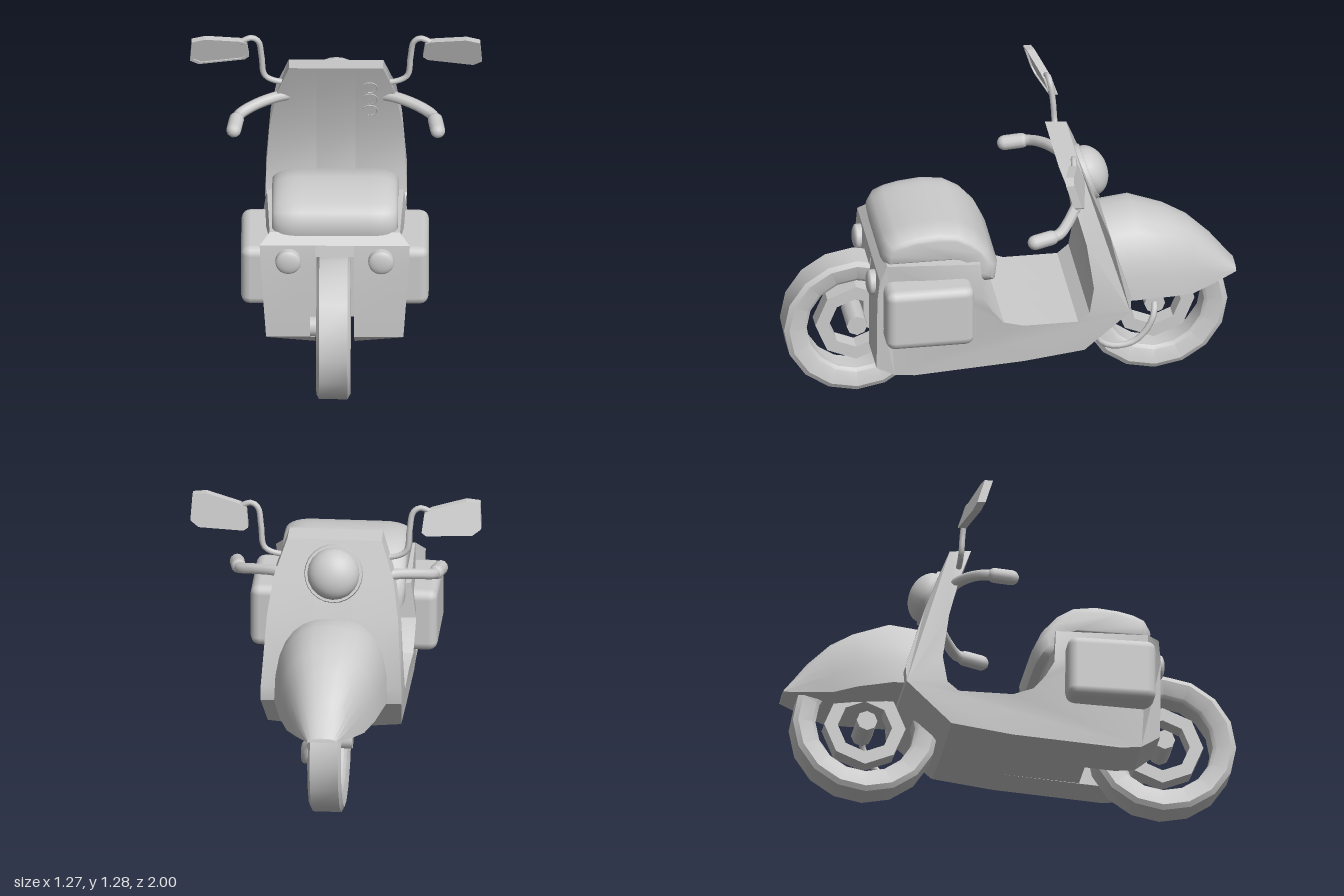
import * as THREE from 'three';
import { toCreasedNormals } from 'three/addons/utils/BufferGeometryUtils.js';
import { RoundedBoxGeometry } from 'three/addons/geometries/RoundedBoxGeometry.js';

const grey = new THREE.MeshStandardMaterial({ color: 0xcccccc });
const greyThin = new THREE.MeshStandardMaterial({ color: 0xcccccc, side: THREE.DoubleSide });

function add(parent, name, geometry, material = grey) {
  const mesh = new THREE.Mesh(geometry, material);
  mesh.name = name;
  parent.add(mesh);
  return mesh;
}

// side profile given as [z, y], extruded along x from 0 to 1
function sideExtrude(points, steps) {
  const shape = new THREE.Shape(points.map(([z, y]) => new THREE.Vector2(-z, y)));
  return new THREE.ExtrudeGeometry(shape, { depth: 1, steps, bevelEnabled: false }).rotateY(Math.PI / 2);
}

function tube(points, radius, segments = 16) {
  const curve = new THREE.CatmullRomCurve3(points.map((p) => new THREE.Vector3(...p)));
  return new THREE.TubeGeometry(curve, segments, radius, 8);
}

// linear look-up in [key, value] pairs
function lookup(table, key) {
  if (key <= table[0][0]) return table[0][1];
  for (let i = 1; i < table.length; i++) {
    const [k0, v0] = table[i - 1], [k1, v1] = table[i];
    if (key <= k1) return v0 + (v1 - v0) * (key - k0) / (k1 - k0);
  }
  return table[table.length - 1][1];
}

const shieldWidth = [[0.2, 0.29], [0.45, 0.31], [0.75, 0.295], [0.96, 0.262], [1.12, 0.205]];
const rearWidth = [[0.2, 0.29], [0.28, 0.31], [0.69, 0.328], [0.74, 0.28]];
const halfWidth = (y, z) => lookup(z < 0 ? shieldWidth : rearWidth, y);

// upper outline shared by all body slabs, from the rear deck to the front belly
const upper = [[0.62, 0.69], [0.58, 0.735], [0.17, 0.72], [0.16, 0.56], [0.12, 0.49], [0.07, 0.43],
  [-0.02, 0.4], [-0.26, 0.4], [-0.31, 0.44], [-0.33, 0.56], [-0.3, 0.77], [-0.25, 0.96], [-0.19, 1.125],
  [-0.285, 1.115], [-0.345, 0.96], [-0.405, 0.8], [-0.495, 0.5], [-0.49, 0.43], [-0.29, 0.23], [-0.02, 0.195]];
const flankProfile = [...upper, [0.46, 0.165], [0.55, 0.175], [0.63, 0.24], [0.63, 0.59]];
const spineProfile = [...upper, [0.33, 0.175], [0.33, 0.64], [0.63, 0.64]];
const SLOT = 0.085;

function slab(profile, side) {
  const g = sideExtrude(profile, 1);
  const p = g.attributes.position;
  for (let i = 0; i < p.count; i++) {
    const d = p.getX(i), y = p.getY(i), z = p.getZ(i), w = halfWidth(y, z);
    const x = side === 0 ? SLOT * (2 * d - 1)
      : side > 0 ? SLOT + (w - SLOT) * d : -w + (w - SLOT) * d;
    p.setX(i, x);
    // belly rises towards the sides
    if (y < 0.235 && Math.abs(x) > 0.1) p.setY(i, y + 0.018);
  }
  return toCreasedNormals(g, 0.45);
}

function wheel(name, z) {
  const group = new THREE.Group();
  group.name = name;
  group.position.set(-0.005, 0.322, z);
  const ring = (pts, n) => {
    const g = new THREE.LatheGeometry(pts.map(([r, x]) => new THREE.Vector2(r, x)), n);
    return toCreasedNormals(g.rotateZ(Math.PI / 2), 0.5);
  };
  add(group, 'tyre', ring([[0.22, -0.05], [0.235, -0.062], [0.3, -0.074], [0.322, -0.062], [0.322, 0.062],
    [0.3, 0.074], [0.235, 0.062], [0.22, 0.05], [0.22, -0.05]], 16));
  add(group, 'rim', ring([[0.12, -0.04], [0.18, -0.04], [0.18, 0.04], [0.12, 0.04], [0.12, -0.04]], 8));
  const hub = add(group, 'hub', new THREE.CylinderGeometry(0.046, 0.046, 0.17, 8).rotateZ(Math.PI / 2));
  hub.position.x = -0.017;
  return group;
}

// front fender, arched above and flat below: sections [z, half width, top, bottom]
function fenderGeometry() {
  const sections = [[-0.4, 0.25, 0.79, 0.45], [-0.54, 0.245, 0.81, 0.45], [-0.69, 0.21, 0.76, 0.435],
    [-0.79, 0.17, 0.705, 0.42], [-0.89, 0.12, 0.61, 0.435], [-0.995, 0.065, 0.475, 0.455]];
  const around = 28, rows = sections.length;
  const g = new THREE.PlaneGeometry(1, 1, around, rows - 1);
  const p = g.attributes.position;
  sections.forEach(([z, w, top, bottom], r) => {
    for (let c = 0; c <= around; c++) {
      const a = 2 * Math.PI * c / around, cos = Math.cos(a);
      const x = w * Math.sign(cos) * Math.abs(cos) ** 0.8;
      const y = bottom + (top - bottom) * Math.max(0, Math.sin(a)) ** 0.8;
      p.setXYZ(r * (around + 1) + c, x, y, z);
    }
  });
  return toCreasedNormals(g, 0.6);
}

function seatGeometry() {
  const g = sideExtrude([[0.595, 0.725], [0.605, 0.78], [0.58, 0.83], [0.53, 0.855], [0.46, 0.873], [0.35, 0.885],
    [0.25, 0.87], [0.18, 0.825], [0.12, 0.755], [0.08, 0.67], [0.09, 0.59], [0.13, 0.585], [0.175, 0.68],
    [0.25, 0.725]], 22);
  const p = g.attributes.position;
  // round the cushion off towards both sides
  for (let i = 0; i < p.count; i++) {
    const d = 2 * p.getX(i) - 1;
    const x = 0.275 * Math.sin(d * Math.PI / 2);
    const t = Math.max(0, (Math.abs(x) - 0.165) / 0.11);
    const shrink = 1 - Math.sqrt(Math.max(0, 1 - t * t));
    const y = p.getY(i), z = p.getZ(i);
    p.setXYZ(i, x, y + (0.77 - y) * 0.42 * shrink, z + (0.36 - z) * 0.2 * shrink);
  }
  return toCreasedNormals(g, 0.7);
}

function dome(radius, height) {
  return new THREE.SphereGeometry(radius, 20, 8, 0, Math.PI * 2, 0, Math.PI / 2)
    .scale(1, height / radius, 1).rotateX(Math.PI / 2);
}

const mirrorOutline = [[0.39, 1.235], [0.42, 1.25], [0.57, 1.28], [0.63, 1.27], [0.637, 1.16], [0.6, 1.135],
  [0.4, 1.14], [0.38, 1.155]];

// leaning plate, or a raised frame when an opening is asked for
function mirrorGeometry(s, front, depth, opening) {
  const scaled = (k) => mirrorOutline.map(([x, y]) =>
    new THREE.Vector2(s * (0.51 + (x - 0.51) * k), 1.207 + (y - 1.207) * k));
  const shape = new THREE.Shape(scaled(1));
  if (opening) shape.holes.push(new THREE.Path(scaled(opening)));
  const g = new THREE.ExtrudeGeometry(shape, { depth, bevelEnabled: false });
  const p = g.attributes.position;
  for (let i = 0; i < p.count; i++) {
    const lean = (p.getY(i) - 1.21) * 0.32 + (Math.abs(p.getX(i)) - 0.5) * 0.18;
    p.setZ(i, p.getZ(i) + front - depth + lean);
  }
  g.computeVertexNormals();
  return g;
}

export function createModel() {
  const scooter = new THREE.Group();
  scooter.name = 'scooter';

  const body = new THREE.Group();
  body.name = 'body';
  scooter.add(body);
  add(body, 'leftFlank', slab(flankProfile, 1));
  add(body, 'rightFlank', slab(flankProfile, -1));
  add(body, 'spine', slab(spineProfile, 0));

  add(scooter, 'seat', seatGeometry());
  add(scooter, 'frontFender', fenderGeometry(), greyThin);
  scooter.add(wheel('rearWheel', 0.68), wheel('frontWheel', -0.635));

  // trailing link on one side of the front wheel
  add(scooter, 'frontLink', tube([[0.06, 0.325, -0.635], [0.1, 0.29, -0.625], [0.11, 0.22, -0.59],
    [0.11, 0.165, -0.53], [0.11, 0.155, -0.44], [0.11, 0.19, -0.38], [0.1, 0.3, -0.35]], 0.014));

  // headlight faces along the tilted shield
  const headlight = new THREE.Group();
  headlight.name = 'headlight';
  headlight.position.set(0, 0.975, -0.335);
  headlight.rotation.set(0.35, Math.PI, 0);
  add(headlight, 'bezel', new THREE.CylinderGeometry(0.125, 0.135, 0.04, 24).rotateX(Math.PI / 2));
  add(headlight, 'lens', dome(0.115, 0.085)).position.z = 0.015;
  scooter.add(headlight);

  // small cable loops lying on the rider's side of the shield
  for (const [y, z] of [[1.005, -0.232], [0.935, -0.256], [0.87, -0.272]]) {
    const loop = add(scooter, 'cableLoop', new THREE.TorusGeometry(0.032, 0.003, 6, 16, Math.PI * 1.5));
    loop.position.set(0.148, y, z);
    loop.rotation.set(0.33, 0, -Math.PI * 0.6);
  }

  for (const s of [1, -1]) {
    const side = s > 0 ? 'left' : 'right';
    const box = add(scooter, side + 'SideBox', new RoundedBoxGeometry(0.17, 0.285, 0.39, 2, 0.04));
    box.position.set(s * 0.325, 0.517, 0.405);

    const light = new THREE.Group();
    light.name = side + 'RearLight';
    light.position.set(s * 0.203, 0.618, 0.628);
    add(light, 'base', new THREE.CylinderGeometry(0.056, 0.058, 0.03, 20).rotateX(Math.PI / 2));
    add(light, 'lens', dome(0.056, 0.02)).position.z = 0.015;
    scooter.add(light);

    add(scooter, side + 'Handlebar', tube([[s * 0.18, 0.945, -0.29], [s * 0.27, 0.945, -0.25],
      [s * 0.36, 0.93, -0.205], [s * 0.42, 0.912, -0.16], [s * 0.435, 0.905, -0.12]], 0.025));
    const grip = add(scooter, side + 'Grip', new THREE.CapsuleGeometry(0.033, 0.075, 4, 12).rotateX(Math.PI / 2));
    grip.position.set(s * 0.44, 0.9, -0.085);
    grip.rotation.set(0.15, s * 0.15, 0);

    add(scooter, side + 'MirrorStem', tube([[s * 0.18, 1.035, -0.25], [s * 0.24, 1.025, -0.25],
      [s * 0.31, 1.055, -0.25], [s * 0.325, 1.15, -0.245], [s * 0.34, 1.235, -0.235],
      [s * 0.37, 1.255, -0.23], [s * 0.42, 1.235, -0.225]], 0.013, 24));
    add(scooter, side + 'Mirror', mirrorGeometry(s, -0.208, 0.028));
    add(scooter, side + 'MirrorFrame', mirrorGeometry(s, -0.2, 0.008, 0.88));
  }
  return scooter;
}
